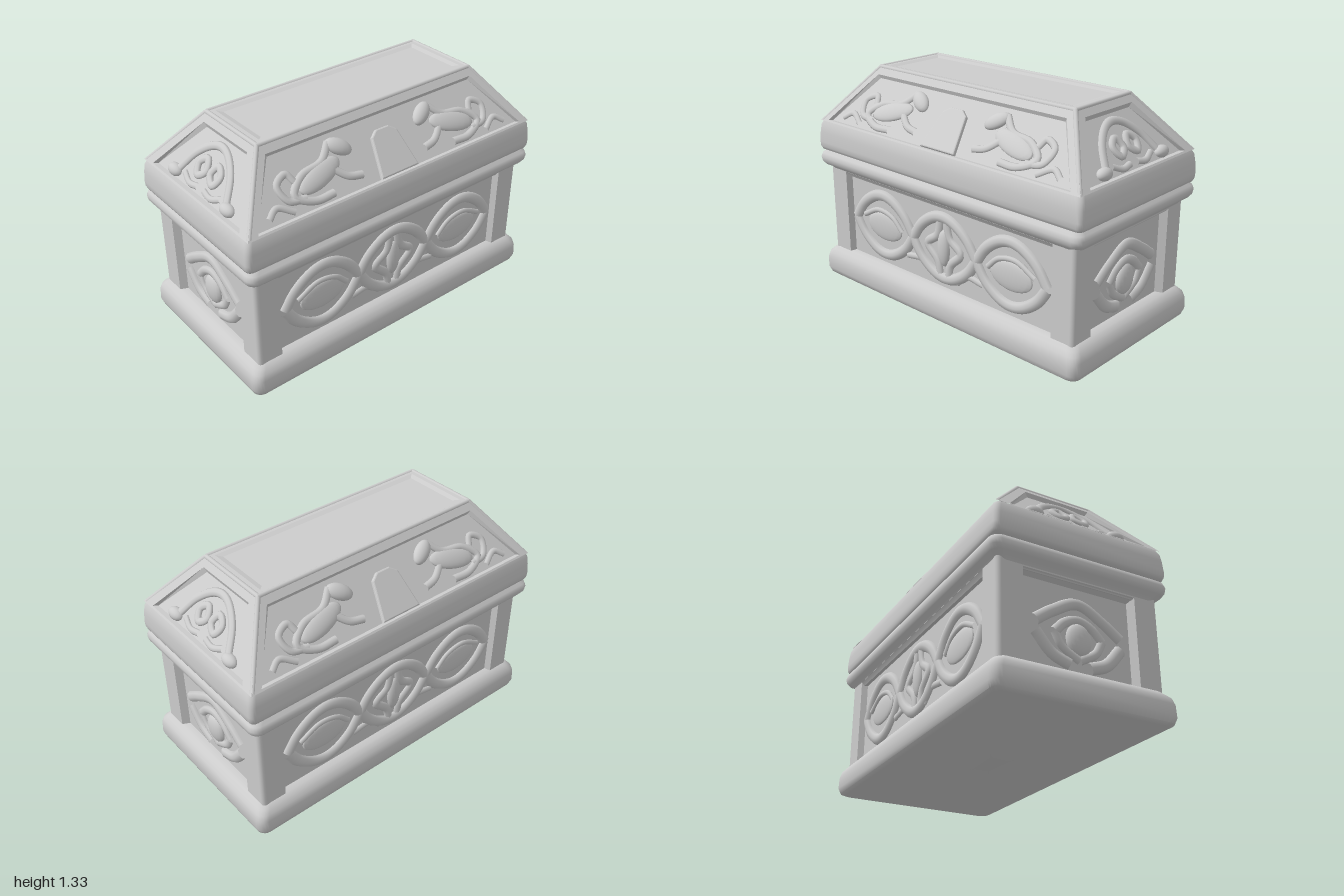
import * as THREE from 'three';
import { toCreasedNormals } from 'three/addons/utils/BufferGeometryUtils.js';

const stone = new THREE.MeshStandardMaterial({ color: 0xcccccc });
stone.name = 'pale stone';

function add(parent, geometry, name) {
  const mesh = new THREE.Mesh(geometry, stone);
  mesh.name = name;
  parent.add(mesh);
  return mesh;
}

function fromTriangles(points) {
  const g = new THREE.BufferGeometry().setFromPoints(points);
  g.computeVertexNormals();
  return g;
}

// Moulding: rounded rectangles stacked along a profile of [y, inset]
function moulding(parent, name, halfX, halfZ, radius, profile) {
  const steps = 5;
  const rings = profile.map(([y, inset]) => {
    const ring = [];
    for (let c = 0; c < 4; c++) {
      const sx = c === 0 || c === 3 ? 1 : -1, sz = c < 2 ? 1 : -1;
      for (let i = 0; i <= steps; i++) {
        const a = (c + i / steps) * Math.PI / 2;
        ring.push(new THREE.Vector3(
          sx * (halfX - inset - radius) + Math.cos(a) * radius, y,
          sz * (halfZ - inset - radius) + Math.sin(a) * radius));
      }
    }
    return ring;
  });
  const tri = [];
  const n = rings[0].length, last = rings.length - 1;
  const low = new THREE.Vector3(0, profile[0][0], 0);
  const high = new THREE.Vector3(0, profile[last][0], 0);
  for (let i = 0; i < n; i++) {
    const j = (i + 1) % n;
    for (let k = 0; k < last; k++) {
      const a = rings[k][i], b = rings[k][j], c = rings[k + 1][j], d = rings[k + 1][i];
      tri.push(a, d, c, a, c, b);
    }
    tri.push(low, rings[0][i], rings[0][j], high, rings[last][j], rings[last][i]);
  }
  add(parent, toCreasedNormals(fromTriangles(tri), 0.8), name);
}

// Trapezoid wall with a sunken field; each outline is [bottom half width, top half width, bottom, top]
function panel(parent, name, outer, inner, depth, bevel) {
  const corners = ([b, t, y0, y1], z) => [[-b, y0], [b, y0], [t, y1], [-t, y1]]
    .map(([x, y]) => new THREE.Vector3(x, y, z));
  const floor = [inner[0] - bevel, inner[1] - bevel, inner[2] + bevel, inner[3] - bevel];
  const loops = [corners(outer, 0), corners(inner, 0), corners(floor, -depth)];
  const tri = [];
  for (let k = 0; k < 2; k++) for (let i = 0; i < 4; i++) {
    const j = (i + 1) % 4, p = loops[k], q = loops[k + 1];
    tri.push(p[i], p[j], q[j], p[i], q[j], q[i]);
  }
  const [a, b, c, d] = loops[2];
  tri.push(a, b, c, a, c, d);
  add(parent, fromTriangles(tri), name);
}

// Face frame: local x runs along the face, y up it and z out of it
function face(parent, name, yaw, distance, y, tilt) {
  const g = new THREE.Group();
  g.name = name;
  g.rotation.set(-tilt, yaw, 0, 'YXZ');
  g.position.set(Math.sin(yaw) * distance, y, Math.cos(yaw) * distance);
  parent.add(g);
  return g;
}

// Carved strand, flattened against the field
function strand(parent, name, pts, r, z, closed = false) {
  const curve = new THREE.CatmullRomCurve3(pts.map(([x, y]) => new THREE.Vector3(x, y, 0)), closed);
  const mesh = add(parent, new THREE.TubeGeometry(curve, pts.length * 6, r, 8, closed), name);
  mesh.scale.z = 0.7;
  mesh.position.z = z;
}

function boss(parent, name, x, y, z, rx, ry, rz, turn = 0) {
  const mesh = add(parent, new THREE.SphereGeometry(1, 18, 12), name);
  mesh.position.set(x, y, z);
  mesh.scale.set(rx, ry, rz);
  mesh.rotation.z = turn;
}

// Interlaced eye pattern of the long walls
function longWallCarving(g) {
  const z = -0.035;
  for (const s of [-1, 1]) {
    const wave = [];
    for (let i = 0; i <= 24; i++) {
      const u = i / 24 * 3;
      const w = Math.sin(u * Math.PI);
      wave.push([-0.75 + u * 0.5, 0.43 + s * 0.185 * Math.sign(w) * Math.abs(w) ** 0.75]);
    }
    strand(g, 'interlace strand', wave, 0.034, z);
    const at = (pts) => pts.map(([x, y]) => [s * x, y]);
    boss(g, 'eye boss', s * 0.5, 0.42, z, 0.15, 0.085, 0.018);
    strand(g, 'eye lid', at([[0.34, 0.43], [0.42, 0.5], [0.54, 0.52], [0.67, 0.46]]), 0.016, z + 0.008);
    strand(g, 'centre leaf', at([[0.03, 0.24], [0.05, 0.34], [0.13, 0.43], [0.05, 0.5], [0.02, 0.63]]), 0.026, z);
    strand(g, 'corner leaf', at([[0.1, 0.25], [0.17, 0.31], [0.3, 0.3]]), 0.02, z);
  }
  boss(g, 'centre bud', 0, 0.43, z, 0.045, 0.11, 0.03);
}

// Lozenge pattern of the end walls
function endWallCarving(g) {
  const z = -0.04;
  strand(g, 'upper arch', [[-0.25, 0.44], [-0.15, 0.51], [0, 0.58], [0.15, 0.51], [0.25, 0.44]], 0.032, z);
  strand(g, 'lower arch', [[-0.14, 0.4], [-0.08, 0.46], [0, 0.49], [0.08, 0.46], [0.14, 0.4]], 0.026, z);
  for (const s of [-1, 1]) {
    strand(g, 'lower leaf', [[s * 0.25, 0.38], [s * 0.16, 0.28], [s * 0.06, 0.24]], 0.034, z);
    strand(g, 'inner leaf', [[s * 0.14, 0.4], [s * 0.1, 0.33], [0, 0.27]], 0.024, z);
  }
  boss(g, 'lozenge boss', 0, 0.38, z, 0.075, 0.09, 0.035);
}

// Plaque with a crouching beast to each side
function longRoofCarving(g) {
  const z = -0.018;
  const outline = new THREE.Shape();
  [[-0.12, 0.03], [0.12, 0.03], [0.08, 0.24], [0.04, 0.27], [-0.04, 0.27], [-0.08, 0.24]]
    .forEach(([x, y], i) => (i ? outline.lineTo(x, y) : outline.moveTo(x, y)));
  const plaque = add(g, new THREE.ExtrudeGeometry(outline, {
    depth: 0.012, bevelSize: 0.008, bevelThickness: 0.008, bevelSegments: 2 }), 'plaque');
  plaque.position.z = z - 0.002;
  for (const s of [-1, 1]) {
    const at = (pts) => pts.map(([x, y]) => [s * x, y]);
    boss(g, 'beast body', s * 0.46, 0.17, z, 0.15, 0.06, 0.024, s * -0.3);
    boss(g, 'beast head', s * 0.29, 0.27, z, 0.08, 0.045, 0.032, s * 0.6);
    strand(g, 'beast foreleg', at([[0.38, 0.18], [0.3, 0.11], [0.22, 0.09]]), 0.022, z);
    strand(g, 'beast back', at([[0.34, 0.31], [0.42, 0.23], [0.56, 0.2], [0.64, 0.12], [0.54, 0.06], [0.42, 0.06]]), 0.022, z);
    strand(g, 'beast tail', at([[0.58, 0.09], [0.68, 0.11], [0.71, 0.2], [0.64, 0.24], [0.61, 0.19]]), 0.02, z);
    strand(g, 'corner leaf', at([[0.67, 0.05], [0.76, 0.1], [0.82, 0.06]]), 0.018, z);
  }
}

// Arched scroll on the roof ends
function endRoofCarving(g) {
  const z = -0.02;
  strand(g, 'scroll arch', [[-0.23, 0.07], [-0.16, 0.2], [-0.07, 0.28], [0, 0.3], [0.07, 0.28], [0.16, 0.2], [0.23, 0.07]], 0.024, z);
  for (const s of [-1, 1]) {
    strand(g, 'scroll ring', [[s * 0.02, 0.15], [s * 0.05, 0.21], [s * 0.1, 0.17], [s * 0.07, 0.11]], 0.022, z + 0.004, true);
    boss(g, 'corner bud', s * 0.25, 0.06, z, 0.055, 0.035, 0.035);
    strand(g, 'lower leaf', [[s * 0.03, 0.06], [s * 0.1, 0.05], [s * 0.17, 0.08]], 0.018, z);
  }
}

export function createModel() {
  const chest = new THREE.Group();
  chest.name = 'carvedChest';

  // Horizontal mouldings
  moulding(chest, 'base', 1, 0.53, 0.05, [[0, 0.035], [0.012, 0.012], [0.045, 0], [0.11, 0.002],
    [0.145, 0.012], [0.165, 0.03], [0.185, 0.05], [0.19, 0.09]]);
  moulding(chest, 'rim', 1, 0.53, 0.05, [[0.68, 0.065], [0.715, 0.045], [0.73, 0.018], [0.75, 0.004],
    [0.775, 0], [0.8, 0.008], [0.812, 0.025], [0.825, 0.03]]);
  moulding(chest, 'lidBand', 1, 0.52, 0.03, [[0.812, 0.03], [0.822, 0.01], [0.84, 0.002], [0.87, 0],
    [0.93, 0.004], [0.975, 0.01], [1, 0.022]]);

  // Rounded corner posts
  for (const x of [-0.92, 0.92]) for (const z of [-0.455, 0.455]) {
    add(chest, new THREE.CylinderGeometry(0.025, 0.025, 0.6, 16), 'cornerPost').position.set(x, 0.44, z);
  }

  // Walls and sloping roof sides, each pair turned half a circle apart
  const rise = 0.325;
  const longSlope = Math.hypot(rise, 0.27), endSlope = Math.hypot(rise, 0.25);
  for (const turn of [0, Math.PI]) {
    const longWall = face(chest, 'longWall', turn, 0.48, 0, 0);
    panel(longWall, 'long wall panel', [0.92, 0.92, 0.14, 0.74], [0.8, 0.8, 0.165, 0.705], 0.035, 0.015);
    longWallCarving(longWall);

    const endWall = face(chest, 'endWall', turn + Math.PI / 2, 0.945, 0, 0);
    panel(endWall, 'end wall panel', [0.455, 0.455, 0.14, 0.74], [0.335, 0.335, 0.165, 0.69], 0.04, 0.025);
    endWallCarving(endWall);

    const longRoof = face(chest, 'longRoof', turn, 0.505, 1, Math.atan2(0.27, rise));
    panel(longRoof, 'long roof panel', [0.98, 0.73, 0, longSlope], [0.915, 0.705, 0.012, 0.365], 0.02, 0.012);
    longRoofCarving(longRoof);

    const endRoof = face(chest, 'endRoof', turn + Math.PI / 2, 0.98, 1, Math.atan2(0.25, rise));
    panel(endRoof, 'end roof panel', [0.505, 0.235, 0, endSlope], [0.42, 0.2, 0.012, 0.355], 0.022, 0.015);
    endRoofCarving(endRoof);
  }

  // Slightly sunken flat top
  const top = face(chest, 'roofTop', 0, 0, 1 + rise, Math.PI / 2);
  panel(top, 'roof top panel', [0.73, 0.73, -0.235, 0.235], [0.69, 0.69, -0.2, 0.2], 0.008, 0.03);

  // Rounded roof ridges
  const ridge = (a, b) => add(chest, new THREE.TubeGeometry(
    new THREE.LineCurve3(new THREE.Vector3(...a), new THREE.Vector3(...b)), 1, 0.014, 10), 'roofRidge');
  const y = 1 + rise - 0.008;
  for (const s of [-1, 1]) {
    ridge([-0.73, y, s * 0.23], [0.73, y, s * 0.23]);
    ridge([s * 0.725, y, -0.23], [s * 0.725, y, 0.23]);
    for (const t of [-1, 1]) ridge([s * 0.965, 1, t * 0.49], [s * 0.725, y, t * 0.23]);
  }
  return chest;
}
